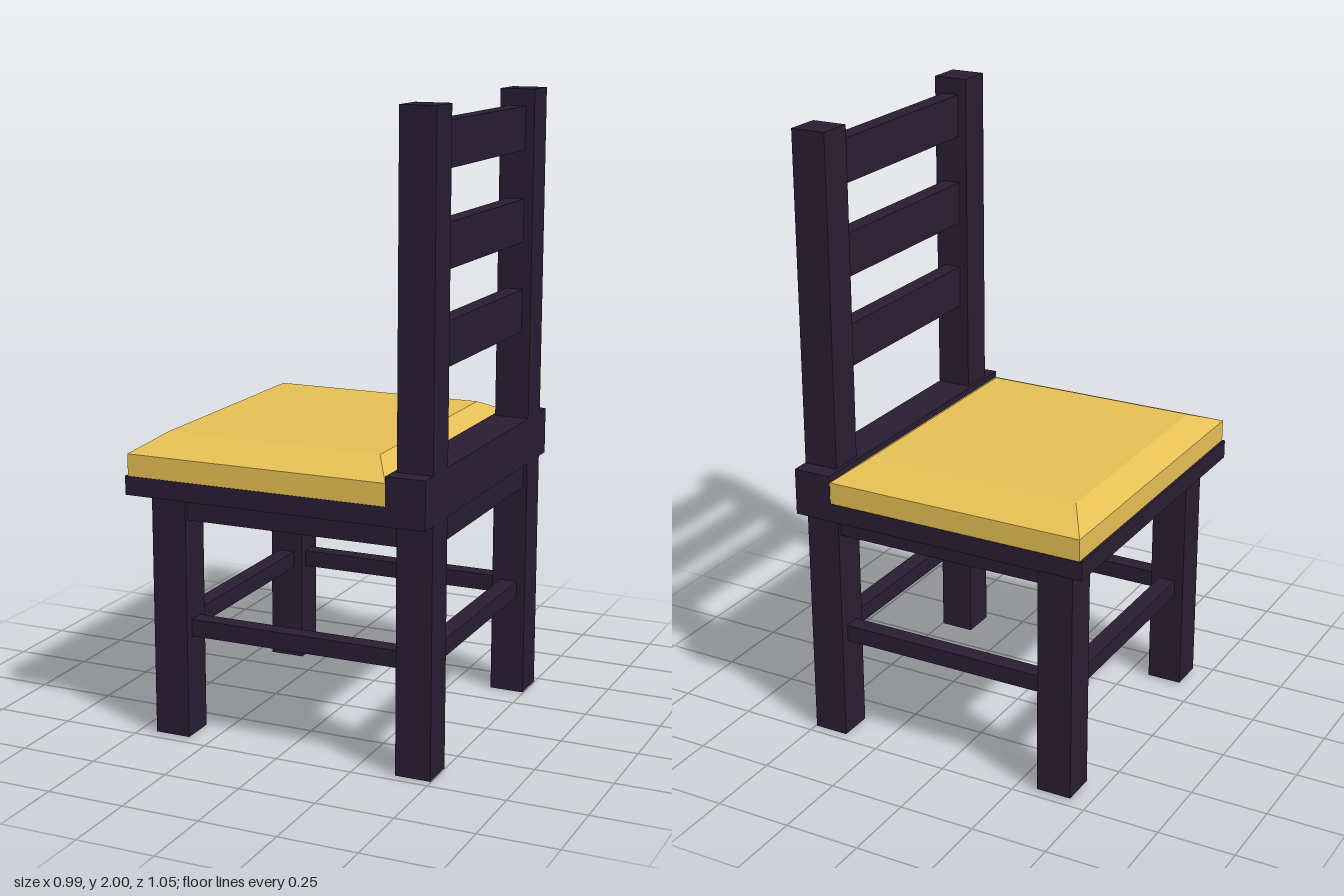
import * as THREE from 'three';

export function createModel() {
  const chair = new THREE.Group();
  chair.name = 'chair';
  const wood = new THREE.MeshStandardMaterial({ color: 0x281c32, flatShading: true });
  wood.name = 'dark wood';
  const fabric = new THREE.MeshStandardMaterial({ color: 0xe5bf54, flatShading: true });
  fabric.name = 'gold fabric';

  // Wooden box given by its limits on each axis
  function box(name, [x0, x1], [y0, y1], [z0, z1]) {
    const geometry = new THREE.BoxGeometry(x1 - x0, y1 - y0, z1 - z0);
    geometry.translate((x0 + x1) / 2, (y0 + y1) / 2, (z0 + z1) / 2);
    const mesh = new THREE.Mesh(geometry, wood);
    mesh.name = name;
    chair.add(mesh);
  }

  const frontX = [-0.438, -0.322], backX = [0.383, 0.497];
  const between = [-0.353, 0.353];
  const railY = [0.33, 0.385];

  // Legs, with the back pair rising into posts, and side rails
  for (const [side, s] of [['right', 1], ['left', -1]]) {
    const z = s > 0 ? [0.353, 0.468] : [-0.468, -0.353];
    box(side + 'FrontLeg', frontX, [0.005, 0.79], z);
    box(side + 'BackPost', backX, [0, 2], z);
    box(side + 'Stretcher', [frontX[1], backX[0]], railY, [s * 0.41 - 0.028, s * 0.41 + 0.028]);
  }

  // Cross rails at front and back
  box('frontStretcher', [-0.408, -0.352], railY, between);
  box('backStretcher', [0.412, 0.468], railY, between);

  // Backrest slats
  for (const y of [1.226, 1.516, 1.809]) {
    box('backSlat', [0.412, 0.468], [y, y + 0.138], between);
  }

  // Solid seat base between the legs, seat board and raised rear beam
  box('seatBase', [-0.425, 0.484], [0.711, 0.79], [-0.455, 0.455]);
  box('seatBoard', [-0.497, 0.371], [0.79, 0.85], [-0.527, 0.527]);
  box('rearBeam', [0.371, 0.497], [0.79, 0.941], [-0.527, 0.527]);

  // Cushion: straight sides with a bevelled top
  const cushion = new THREE.BoxGeometry(1, 1, 1, 1, 2, 1);
  const p = cushion.attributes.position;
  const heights = [0.85, 0.92, 0.971];
  for (let i = 0; i < p.count; i++) {
    const level = Math.round((p.getY(i) + 0.5) * 2);
    const [x0, x1, z] = level === 2 ? [-0.413, 0.301, 0.402] : [-0.488, 0.371, 0.525];
    p.setXYZ(i, p.getX(i) < 0 ? x0 : x1, heights[level], Math.sign(p.getZ(i)) * z);
  }
  cushion.computeVertexNormals();
  const seat = new THREE.Mesh(cushion, fabric);
  seat.name = 'seatCushion';
  chair.add(seat);

  return chair;
}
